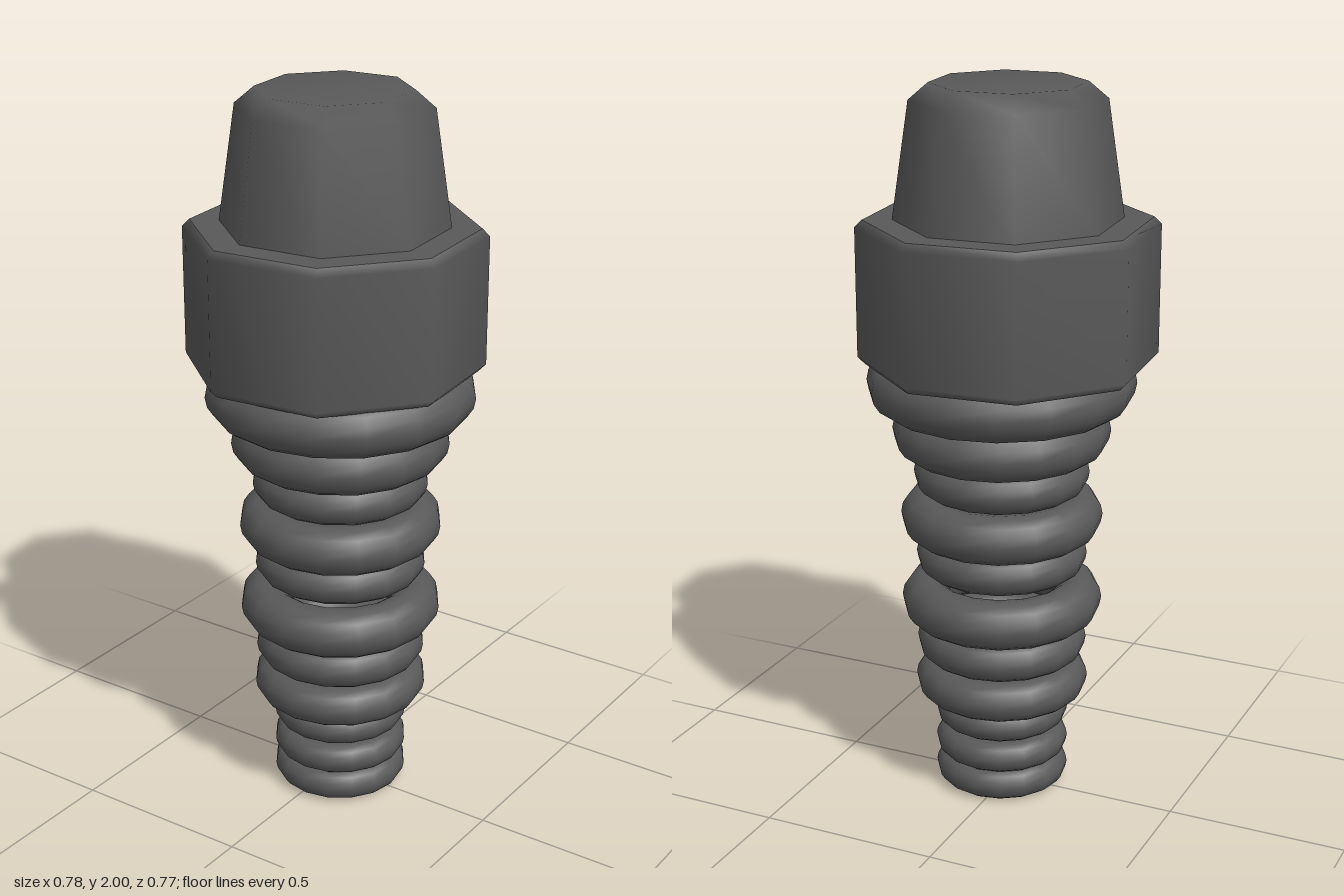
import * as THREE from 'three';

const material = new THREE.MeshStandardMaterial({ color: 0x595959 });
const TURN = THREE.MathUtils.degToRad(27.75);

// Smooth eight-sided turned part; the profile runs bottom to top as [radius, y].
function octagonPart(name, profile) {
  const points = profile.map(([r, y]) => new THREE.Vector2(r, y));
  const mesh = new THREE.Mesh(new THREE.LatheGeometry(points, 8, TURN), material);
  mesh.name = name;
  mesh.position.set(-0.003, 0, -0.002);
  return mesh;
}

export function createModel() {
  const model = new THREE.Group();
  model.name = 'ribbedPlug';

  // Stack of separate rings: [centre height, outer radius, tube radius]
  const rings = new THREE.Group();
  rings.name = 'ribbedSleeve';
  rings.position.set(0.022, 0, 0.007);
  const ringSizes = [
    [0.046, 0.187, 0.046], [0.13, 0.187, 0.044], [0.225, 0.187, 0.044],
    [0.322, 0.242, 0.057], [0.44, 0.237, 0.056], [0.562, 0.279, 0.068],
    [0.695, 0.237, 0.054], [0.81, 0.279, 0.068], [0.933, 0.242, 0.056],
    [1.055, 0.299, 0.071], [1.191, 0.367, 0.075],
  ];
  ringSizes.forEach(([y, outer, tube], i) => {
    const ring = new THREE.Mesh(new THREE.TorusGeometry(outer - tube, tube, 16, 16), material);
    ring.name = `ring${i + 1}`;
    ring.rotation.x = Math.PI / 2;
    ring.position.y = y;
    rings.add(ring);
  });
  model.add(rings);

  // Wide collar: wall with chamfered rims, closed by flat ends
  model.add(octagonPart('collarWall', [
    [0.385, 1.25], [0.405, 1.27], [0.405, 1.623], [0.385, 1.643],
  ]));
  model.add(octagonPart('collarTop', [[0.385, 1.643], [0, 1.643]]));
  model.add(octagonPart('collarUnderside', [[0, 1.25], [0.385, 1.25]]));

  // Tapered tip with a bevelled top
  model.add(octagonPart('tip', [
    [0.308, 1.63], [0.26, 1.955], [0.207, 2], [0, 2],
  ]));

  return model;
}
